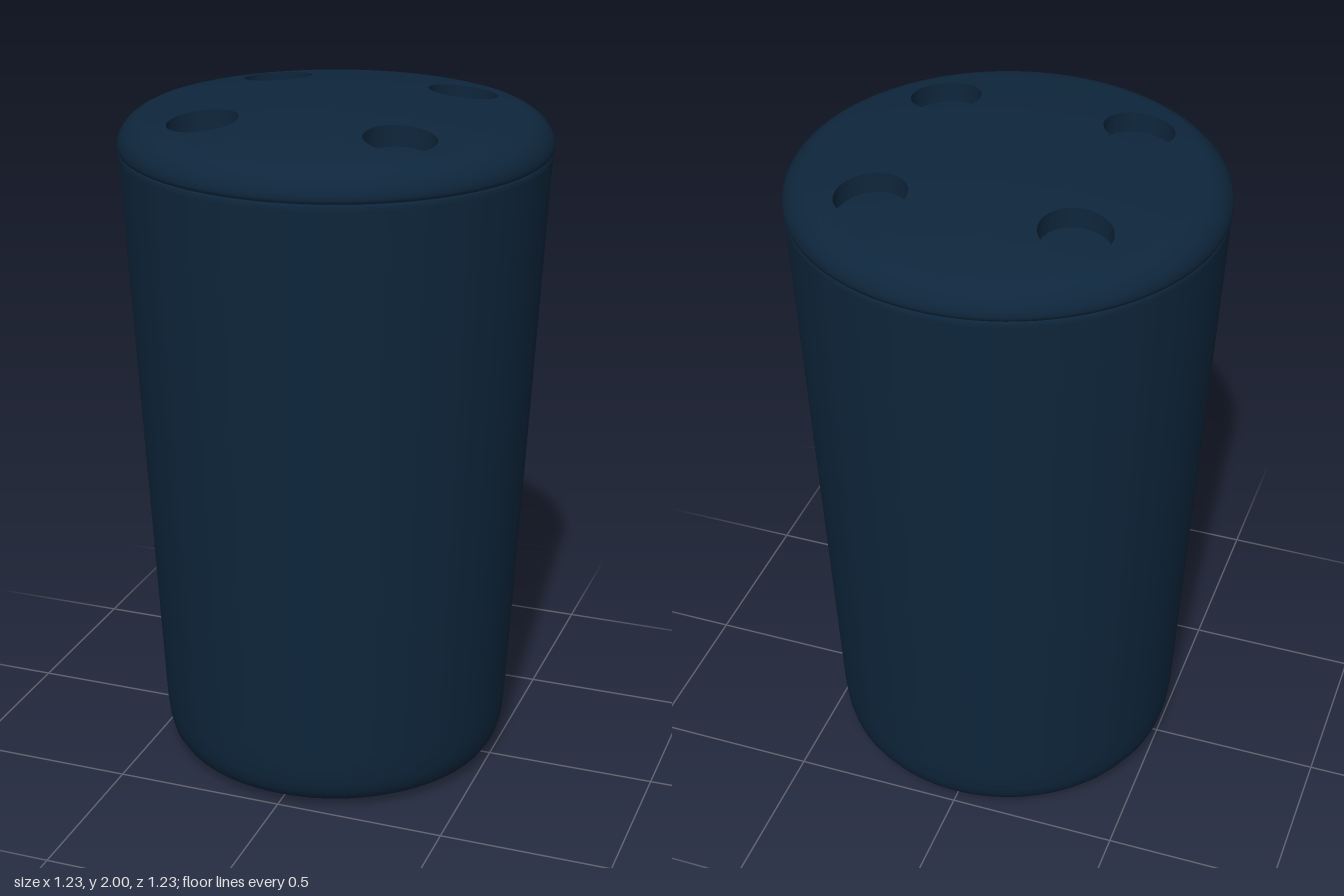
import * as THREE from 'three';

const HOLE = 0.285, HOLE_R = 0.1, DEPTH = 0.06, EDGE = 0.54;
const dome = (x, z) => 2 - 0.16 * (x * x + z * z);

// Closed loop of points round one quarter of the lid top (quarter x >= 0, z >= 0)
function quarterOutline() {
  const pts = [], n = 12;
  for (let i = 0; i < n; i++) pts.push([EDGE * i / n, 0]);
  for (let i = 0; i < 24; i++) {
    const a = i / 24 * Math.PI / 2;
    pts.push([EDGE * Math.cos(a), EDGE * Math.sin(a)]);
  }
  for (let i = 0; i < n; i++) pts.push([0, EDGE * (1 - i / n)]);
  return pts;
}

// Skins a list of closed rings of [x, y, z] points; onDome takes normals from the dome
function skin(rings, onDome) {
  const pos = [], idx = [], n = rings[0].length;
  rings.forEach(r => r.forEach(p => pos.push(...p)));
  for (let j = 0; j < rings.length - 1; j++) {
    for (let i = 0; i < n; i++) {
      const a = j * n + i, b = j * n + (i + 1) % n;
      idx.push(a, a + n, b, b, a + n, b + n);
    }
  }
  const g = new THREE.BufferGeometry();
  g.setAttribute('position', new THREE.Float32BufferAttribute(pos, 3));
  g.setIndex(idx);
  g.computeVertexNormals();
  if (onDome) {
    const p = g.attributes.position, v = new THREE.Vector3();
    for (let i = 0; i < p.count; i++) {
      v.set(0.32 * p.getX(i), 1, 0.32 * p.getZ(i)).normalize();
      g.attributes.normal.setXYZ(i, v.x, v.y, v.z);
    }
  }
  return g;
}

export function createModel() {
  const group = new THREE.Group();
  const navy = new THREE.MeshStandardMaterial({ color: 0x0e263c });
  navy.name = 'navy';
  navy.side = THREE.DoubleSide;

  const add = (name, geometry, parent = group) => {
    const mesh = new THREE.Mesh(geometry, navy);
    mesh.name = name;
    parent.add(mesh);
    return mesh;
  };
  const lathe = pts => new THREE.LatheGeometry(pts.map(p => new THREE.Vector2(...p)), 96);

  // Tapered body with a rounded foot
  add('body', lathe([
    [0, 0], [0.2, 0.002], [0.4, 0.008], [0.44, 0.01], [0.465, 0.016], [0.487, 0.03],
    [0.503, 0.055], [0.513, 0.09], [0.519, 0.14], [0.522, 0.19], [0.567, 1.02],
    [0.611, 1.84], [0.612, 1.855], [0.607, 1.859],
  ]));

  // Rounded lid edge above a thin seam
  add('seam', lathe([[0.606, 1.852], [0.606, 1.87]]));
  add('lidEdge', lathe([
    [0.606, 1.861], [0.613, 1.863], [0.615, 1.873], [0.614, 1.885], [0.609, 1.9],
    [0.6, 1.915], [0.588, 1.929], [0.572, 1.941], [0.556, 1.9495], [0.546, 1.952], [EDGE, dome(EDGE, 0)],
  ]));

  // One quarter of the domed top, with its round recess
  const outline = quarterOutline();
  const circle = r => outline.map(([x, z]) => {
    const a = Math.atan2(z - HOLE, x - HOLE);
    return [HOLE + r * Math.cos(a), HOLE + r * Math.sin(a)];
  });
  const lift = (pts, drop = 0) => pts.map(([x, z]) => [x, dome(x, z) - drop, z]);
  const rim = circle(HOLE_R);
  const topRings = [0, 0.2, 0.4, 0.6, 0.8, 1].map(s => lift(outline.map(([x, z], i) => [
    x + (rim[i][0] - x) * s, z + (rim[i][1] - z) * s,
  ])));
  const topGeo = skin(topRings, true);
  const wallGeo = skin([lift(rim), lift(rim, DEPTH / 2), lift(rim, DEPTH)], false);
  const floorGeo = skin([HOLE_R, 0.06, 0.001].map(r => lift(circle(r), DEPTH)), true);

  // Four quarters, turned about the axis
  for (let i = 0; i < 4; i++) {
    const quarter = new THREE.Group();
    quarter.name = 'lidQuarter' + (i + 1);
    add('lidTop', topGeo, quarter);
    add('holeWall', wallGeo, quarter);
    add('holeFloor', floorGeo, quarter);
    quarter.rotation.y = i * Math.PI / 2;
    group.add(quarter);
  }
  return group;
}
